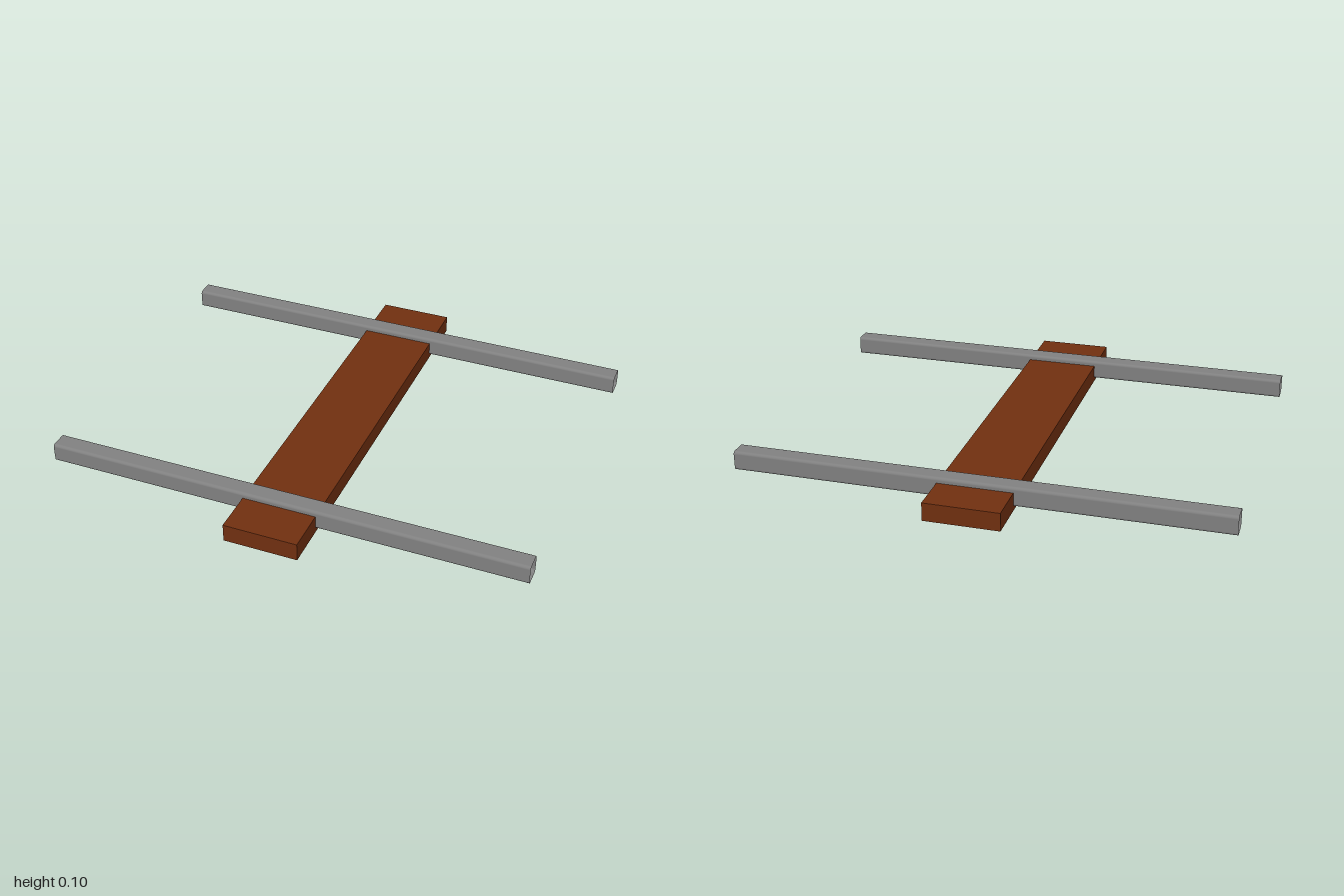
import * as THREE from 'three';

// Open-ended square tube along x, with rounded edges
function squareTube(length, size, radius, steps = 5) {
  const pos = [], nor = [], idx = [];
  const c = size / 2 - radius;
  for (let corner = 0; corner < 4; corner++) {
    const mid = Math.PI / 4 + corner * Math.PI / 2;
    const cy = c * Math.sign(Math.cos(mid)), cz = c * Math.sign(Math.sin(mid));
    for (let i = 0; i <= steps; i++) {
      const a = corner * Math.PI / 2 + (i / steps) * Math.PI / 2;
      const ny = Math.cos(a), nz = Math.sin(a);
      for (const x of [-length / 2, length / 2]) {
        pos.push(x, cy + radius * ny, cz + radius * nz);
        nor.push(0, ny, nz);
      }
    }
  }
  const n = pos.length / 6;
  for (let i = 0; i < n; i++) {
    const a = 2 * i, b = 2 * ((i + 1) % n);
    idx.push(a, b, a + 1, b, b + 1, a + 1);
  }
  const g = new THREE.BufferGeometry();
  g.setAttribute('position', new THREE.Float32BufferAttribute(pos, 3));
  g.setAttribute('normal', new THREE.Float32BufferAttribute(nor, 3));
  // Wind every face outward
  for (let k = 0; k < idx.length; k += 3) {
    const [p, q, r] = [0, 1, 2].map(j => new THREE.Vector3().fromArray(pos, idx[k + j] * 3));
    const face = q.sub(p).cross(r.sub(p));
    if (face.dot(new THREE.Vector3().fromArray(nor, idx[k] * 3)) < 0) {
      [idx[k + 1], idx[k + 2]] = [idx[k + 2], idx[k + 1]];
    }
  }
  g.setIndex(idx);
  return g;
}

export function createModel() {
  const model = new THREE.Group();
  model.name = 'plankWithRails';

  const wood = new THREE.MeshStandardMaterial({ color: 0x702f10 });
  wood.name = 'brown wood';
  const steel = new THREE.MeshStandardMaterial({ color: 0x808080, side: THREE.DoubleSide });
  steel.name = 'grey steel';

  // Long wooden plank
  const plank = new THREE.Mesh(new THREE.BoxGeometry(0.306, 0.075, 1.75), wood);
  plank.name = 'plank';
  plank.position.y = 0.0375;
  model.add(plank);

  // Two hollow cross rails, let into the plank
  const railGeometry = squareTube(2, 0.08, 0.012);
  for (const [name, z] of [['frontRail', 0.659], ['backRail', -0.666]]) {
    const rail = new THREE.Mesh(railGeometry, steel);
    rail.name = name;
    rail.position.set(0, 0.057, z);
    model.add(rail);
  }
  return model;
}
